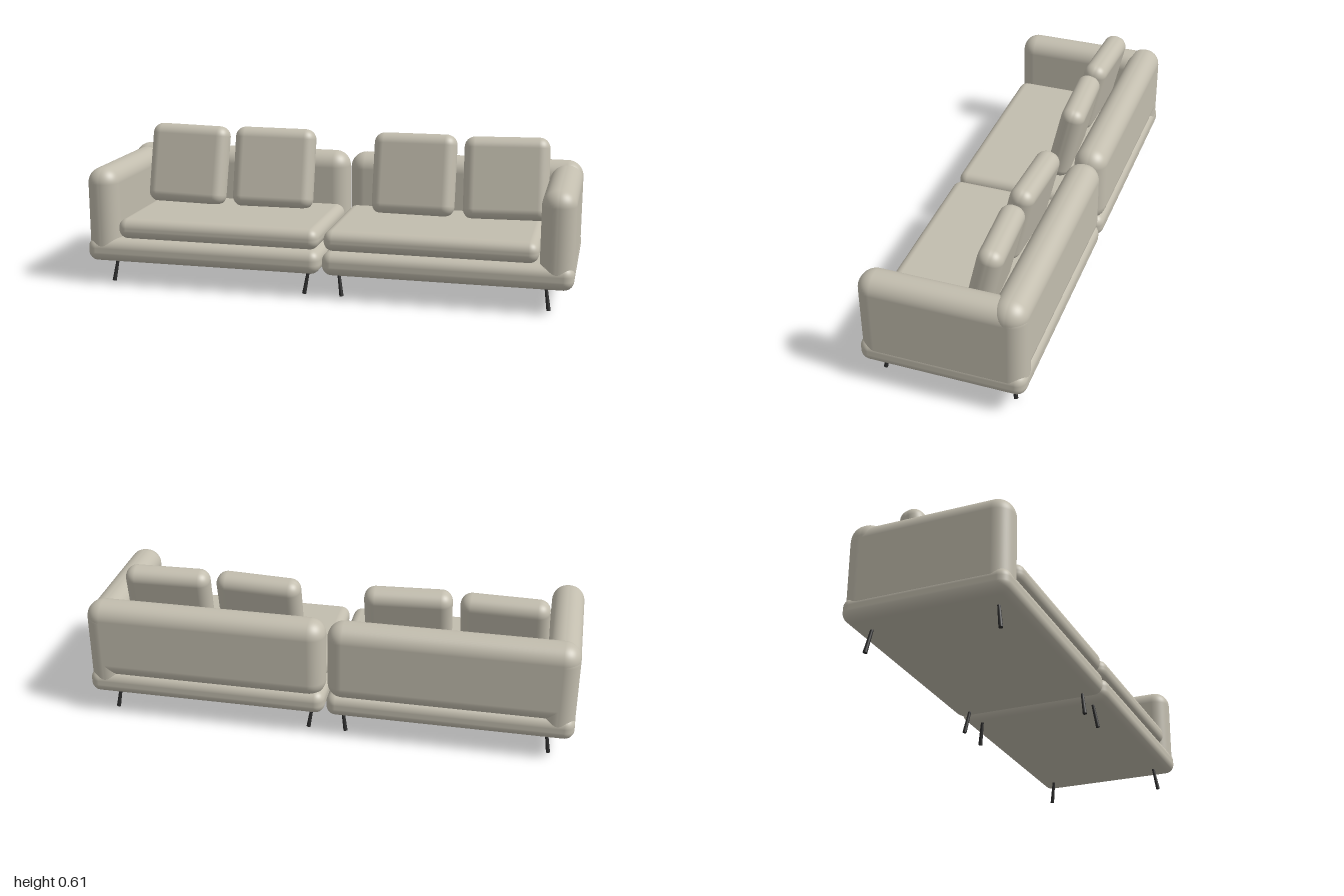
import * as THREE from 'three';
import { RoundedBoxGeometry } from 'three/addons/geometries/RoundedBoxGeometry.js';

const fabric = new THREE.MeshStandardMaterial({ color: 0xc2bdae });
fabric.name = 'beige fabric';
const metal = new THREE.MeshStandardMaterial({ color: 0x2b2b2b });
metal.name = 'dark metal';

// Soft upholstered block spanning two opposite corners
function block(name, min, max, radius) {
  const size = max.map((v, i) => v - min[i]);
  const mesh = new THREE.Mesh(new RoundedBoxGeometry(...size, 6, radius), fabric);
  mesh.position.set(...max.map((v, i) => (v + min[i]) / 2));
  mesh.name = name;
  return mesh;
}

// Slim leg, wider at the foot, running from the foot up into the base
function leg(name, foot, top) {
  const a = new THREE.Vector3(...foot), b = new THREE.Vector3(...top);
  const dir = b.clone().sub(a);
  const mesh = new THREE.Mesh(new THREE.CylinderGeometry(0.006, 0.0085, dir.length(), 10), metal);
  mesh.position.copy(a).add(b).multiplyScalar(0.5);
  mesh.quaternion.setFromUnitVectors(new THREE.Vector3(0, 1, 0), dir.normalize());
  mesh.name = name;
  return mesh;
}

// Loose back pillow, leaning back and turned slightly
function pillow(name, x, yaw, roll) {
  const mesh = new THREE.Mesh(new RoundedBoxGeometry(0.352, 0.345, 0.1, 6, 0.045), fabric);
  mesh.position.set(x, 0.44, -0.107);
  mesh.rotation.set(-0.225, yaw, roll, 'YXZ');
  mesh.name = name;
  return mesh;
}

// One sofa half; side is +1 for left (+x) and -1 for right
function sofaHalf(side) {
  const half = new THREE.Group();
  half.name = side > 0 ? 'leftHalf' : 'rightHalf';
  const span = (name, x0, x1, y0, y1, z0, z1, r) => {
    const xs = [x0 * side, x1 * side].sort((a, b) => a - b);
    half.add(block(name, [xs[0], y0, z0], [xs[1], y1, z1], r));
  };
  span('base', 0.004, 1.0, 0.095, 0.193, -0.327, 0.327, 0.04);
  span('armrest', 0.865, 0.999, 0.1, 0.487, -0.326, 0.326, 0.064);
  span('backrest', 0.004, 0.999, 0.165, 0.5, -0.326, -0.187, 0.066);
  span('seatCushion', 0.01, 0.863, 0.195, 0.28, -0.2, 0.32, 0.038);

  half.add(pillow('outerPillow', 0.692 * side, 0.05 * side, 0.012 * side));
  half.add(pillow('innerPillow', 0.306 * side, -0.05 * side, 0.012 * side));

  for (const x of [0.075, 0.903]) {
    for (const end of [1, -1]) {
      half.add(leg(end > 0 ? 'frontLeg' : 'rearLeg',
        [(x + 0.003) * side, 0.001, 0.264 * end],
        [(x - 0.013) * side, 0.105, 0.248 * end]));
    }
  }
  return half;
}

export function createModel() {
  const sofa = new THREE.Group();
  sofa.name = 'sofa';
  sofa.add(sofaHalf(1), sofaHalf(-1));
  return sofa;
}
